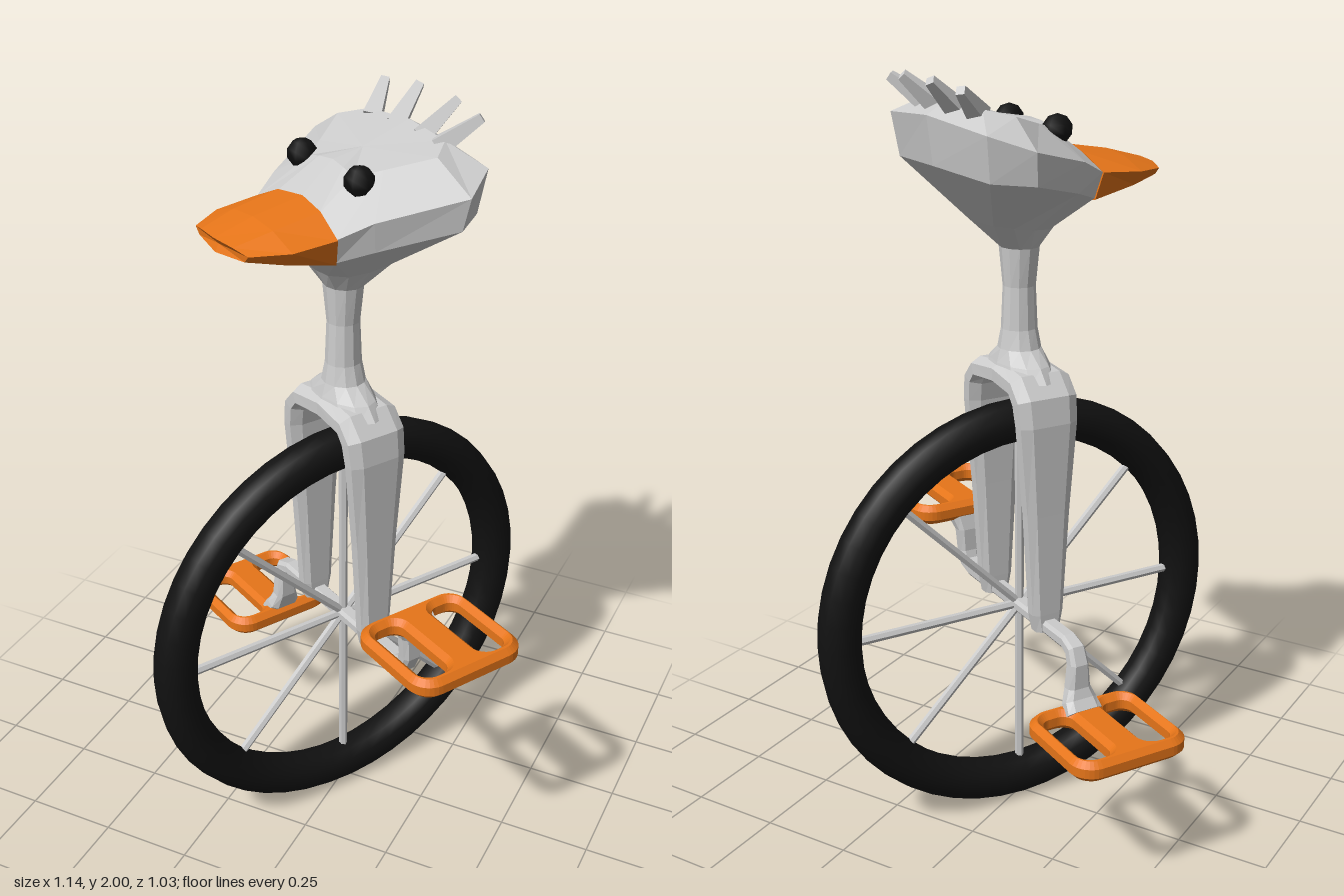
import * as THREE from 'three';

const mat = (color, flatShading = true) => new THREE.MeshStandardMaterial({ color, flatShading });
const grey = mat(0xcccccc), orange = mat(0xe67519), black = mat(0x111111, false);
const HUB = 0.585;

function add(parent, name, geometry, material) {
  const mesh = new THREE.Mesh(geometry, material);
  mesh.name = name;
  parent.add(mesh);
  return mesh;
}

// Skin over closed rings of points (counter-clockwise about the direction of advance), capped at both ends
function loft(rings) {
  const pos = [];
  const tri = (...pts) => pts.forEach((p) => pos.push(...p));
  const centre = (r) => [0, 1, 2].map((k) => r.reduce((s, p) => s + p[k], 0) / r.length);
  const n = rings[0].length, first = rings[0], last = rings[rings.length - 1];
  for (let i = 0; i < n; i++) {
    const j = (i + 1) % n;
    for (let s = 0; s < rings.length - 1; s++) {
      const a = rings[s], b = rings[s + 1];
      tri(a[i], a[j], b[j]);
      tri(a[i], b[j], b[i]);
    }
    tri(centre(first), first[j], first[i]);
    tri(centre(last), last[i], last[j]);
  }
  const g = new THREE.BufferGeometry();
  g.setAttribute('position', new THREE.Float32BufferAttribute(pos, 3));
  g.computeVertexNormals();
  return g;
}

// Completes a half ring by mirroring in x
const mirror = (half) => [...half, ...half.slice(1, -1).reverse().map(([x, y, z]) => [-x, y, z])];

// Chamfered bar along stations [x, y, half thickness, half depth] in the xy plane
function sweep(stations) {
  return loft(stations.map(([x, y, t, d], i) => {
    const p = stations[Math.max(i - 1, 0)], q = stations[Math.min(i + 1, stations.length - 1)];
    const len = Math.hypot(q[0] - p[0], q[1] - p[1]);
    const nx = -(q[1] - p[1]) / len, ny = (q[0] - p[0]) / len;
    const section = [[1, -0.65], [1, 0.65], [0.5, 1], [-0.5, 1], [-1, 0.65], [-1, -0.65], [-0.5, -1], [0.5, -1]];
    return section.map(([a, b]) => [x + nx * a * t, y + ny * a * t, b * d]);
  }));
}

// Horizontal oval ring of the neck
const oval = (y, rx, rz, z = 0) => mirror(Array.from({ length: 7 }, (_, i) => {
  const a = i * Math.PI / 6;
  return [rx * Math.sin(a), y, z + rz * Math.cos(a)];
}));

function roundedRect(target, cx, cy, hw, hh, r) {
  target.moveTo(cx + hw, cy - hh + r);
  [[1, 1, 0], [-1, 1, 1], [-1, -1, 2], [1, -1, 3]].forEach(([sx, sy, k]) =>
    target.absarc(cx + sx * (hw - r), cy + sy * (hh - r), r, k * Math.PI / 2, (k + 1) * Math.PI / 2, false));
  target.closePath();
  return target;
}

function buildWheel() {
  const wheel = new THREE.Group();
  wheel.name = 'wheel';
  wheel.position.y = HUB;
  wheel.rotation.y = Math.PI / 2;
  add(wheel, 'tyre', new THREE.TorusGeometry(0.528, 0.057, 12, 48), black);
  for (let i = 0; i < 8; i++) {
    const a = i * Math.PI / 4;
    const spoke = add(wheel, 'spoke', new THREE.CylinderGeometry(0.012, 0.012, 0.475, 6), grey);
    spoke.position.set(-Math.sin(a) * 0.2375, Math.cos(a) * 0.2375, 0);
    spoke.rotation.z = a;
  }
  return wheel;
}

function buildPedal() {
  const shape = roundedRect(new THREE.Shape(), 0, 0, 0.15, 0.163, 0.06);
  for (const s of [-1, 1]) shape.holes.push(roundedRect(new THREE.Path(), 0, s * 0.089, 0.113, 0.042, 0.03));
  const g = new THREE.ExtrudeGeometry(shape, {
    depth: 0.025, bevelThickness: 0.015, bevelSize: 0.015, bevelOffset: -0.015, bevelSegments: 1, curveSegments: 4,
  });
  g.translate(0, 0, -0.0125);
  g.rotateX(Math.PI / 2);
  return g;
}

function buildHead() {
  const head = new THREE.Group();
  head.name = 'head';
  // Neck flaring into jaw, lower rim, upper rim and crown
  add(head, 'neckAndSkull', loft([
    oval(1.24, 0.14, 0.075),
    oval(1.275, 0.11, 0.065),
    oval(1.31, 0.06, 0.055),
    oval(1.36, 0.046, 0.047),
    oval(1.47, 0.042, 0.042),
    oval(1.57, 0.056, 0.05),
    mirror([[0, 1.62, 0.08], [0.045, 1.62, 0.075], [0.08, 1.62, 0.04], [0.095, 1.625, -0.01],
      [0.1, 1.635, -0.07], [0.07, 1.64, -0.11], [0, 1.64, -0.115]]),
    mirror([[0, 1.675, 0.125], [0.09, 1.685, 0.13], [0.15, 1.70, 0.125], [0.2, 1.725, 0.05],
      [0.3, 1.77, -0.12], [0.24, 1.775, -0.21], [0, 1.785, -0.235]]),
    mirror([[0, 1.81, 0.12], [0.09, 1.80, 0.13], [0.17, 1.765, 0.135], [0.21, 1.80, 0.06],
      [0.315, 1.85, -0.13], [0.255, 1.885, -0.225], [0, 1.905, -0.25]]),
    mirror([[0, 1.885, 0.03], [0.05, 1.88, 0.035], [0.09, 1.87, 0.035], [0.13, 1.885, -0.02],
      [0.2, 1.915, -0.12], [0.15, 1.93, -0.18], [0, 1.94, -0.19]]),
  ]), grey);
  // Flat bill, from tip to base
  add(head, 'beak', loft([
    mirror([[0, 1.765, 0.355], [0.07, 1.762, 0.347], [0.116, 1.752, 0.335], [0.1, 1.735, 0.335], [0, 1.73, 0.352]]),
    mirror([[0, 1.793, 0.25], [0.085, 1.785, 0.25], [0.166, 1.757, 0.25], [0.135, 1.72, 0.25], [0, 1.705, 0.25]]),
    mirror([[0, 1.815, 0.115], [0.09, 1.805, 0.125], [0.175, 1.765, 0.135], [0.154, 1.697, 0.125], [0, 1.668, 0.12]]),
  ]), orange);
  for (const s of [-1, 1]) {
    const eye = add(head, 'eye', new THREE.SphereGeometry(0.037, 6, 5), black);
    eye.position.set(s * 0.118, 1.868, 0.038);
    // Crest feathers leaning back and out
    for (const [x0, z0, x1, y1, z1] of [[0.05, -0.185, 0.075, 1.992, -0.275], [0.13, -0.175, 0.188, 1.98, -0.255]]) {
      const from = new THREE.Vector3(s * x0, 1.91, z0), dir = new THREE.Vector3(s * x1, y1, z1).sub(from);
      const feather = add(head, 'crestFeather', new THREE.CylinderGeometry(0.015, 0.032, dir.length(), 4), grey);
      feather.position.copy(from).addScaledVector(dir, 0.5);
      feather.quaternion.setFromUnitVectors(new THREE.Vector3(0, 1, 0), dir.normalize());
    }
  }
  return head;
}

export function createModel() {
  const model = new THREE.Group();
  model.name = 'birdHeadedUnicycle';
  model.rotation.y = -Math.PI / 6;
  model.add(buildWheel(), buildHead());

  // Arched fork over the wheel
  const leg = [[0.14, 0.57, 0.024, 0.035], [0.14, 0.62, 0.025, 0.045], [0.14, 0.9, 0.026, 0.062], [0.14, 1.14, 0.028, 0.082],
    [0.13, 1.2, 0.03, 0.085], [0.1, 1.235, 0.03, 0.085]];
  add(model, 'fork', sweep([...leg, [0, 1.245, 0.032, 0.08],
    ...leg.slice().reverse().map(([x, ...rest]) => [-x, ...rest])]), grey);

  // Axle bending into the two cranks, half a turn apart
  const crank = [[0.1, 0, 0.018, 0.022], [0.26, 0, 0.02, 0.022], [0.292, 0.012, 0.022, 0.024],
    [0.305, 0.045, 0.022, 0.026], [0.305, 0.11, 0.022, 0.032], [0.315, 0.145, 0.024, 0.045], [0.34, 0.17, 0.02, 0.05]];
  const axle = add(model, 'axleAndCranks', sweep([
    ...crank.slice().reverse().map(([x, y, t, d]) => [-x, -y, t, d]), ...crank]), grey);
  axle.position.y = HUB;

  const pedal = buildPedal();
  add(model, 'leftPedal', pedal, orange).position.set(0.44, 0.754, 0.012);
  add(model, 'rightPedal', pedal, orange).position.set(-0.44, 0.4, 0.005);

  const root = new THREE.Group();
  root.add(model);
  return root;
}
